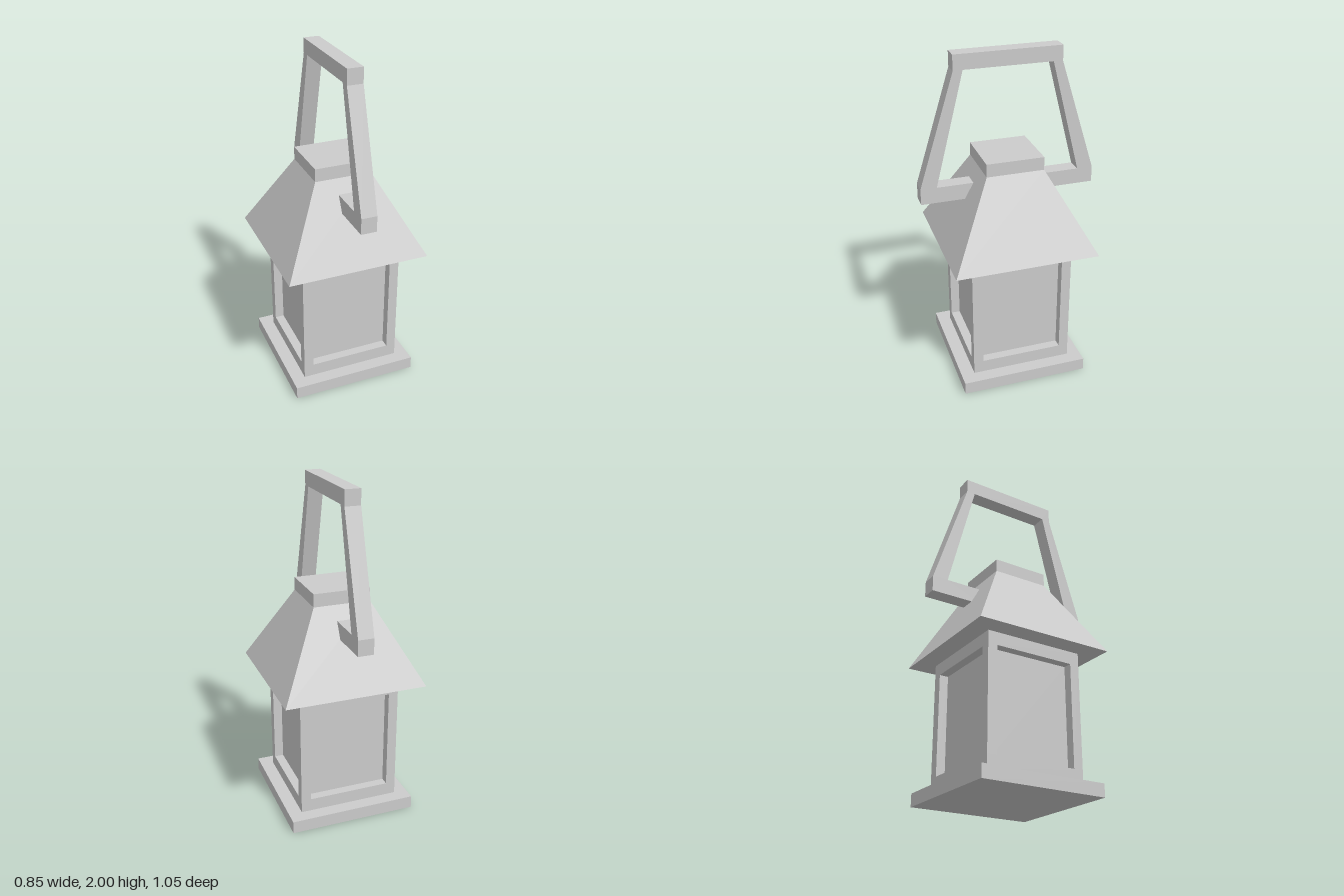
import * as THREE from 'three';

const material = new THREE.MeshStandardMaterial({ color: 0xcccccc, flatShading: true });

function add(parent, name, geometry, x = 0, y = 0, z = 0) {
  const mesh = new THREE.Mesh(geometry, material);
  mesh.name = name;
  mesh.position.set(x, y, z);
  parent.add(mesh);
  return mesh;
}

// Square block of half-width r between two heights
function block(parent, name, r, y0, y1, x = 0, z = 0) {
  return add(parent, name, new THREE.BoxGeometry(2 * r, y1 - y0, 2 * r), x, (y0 + y1) / 2, z);
}

export function createModel() {
  const lantern = new THREE.Group();
  lantern.name = 'lantern';

  block(lantern, 'base', 0.385, 0, 0.077);

  // Body: rails and corner posts framing four recessed panes
  const body = new THREE.Group();
  body.name = 'body';
  lantern.add(body);
  const half = 0.305, post = 0.058;
  block(body, 'bottomRail', half, 0.077, 0.155);
  block(body, 'topRail', half, 0.77, 0.847);
  block(body, 'panes', half - 0.055, 0.155, 0.77);
  const c = half - post / 2;
  for (const sx of [-1, 1]) {
    for (const sz of [-1, 1]) block(body, 'cornerPost', post / 2, 0.155, 0.77, sx * c, sz * c);
  }

  // Roof: four-sided frustum with a square cap
  const roofBottom = 0.847, roofTop = 1.322;
  add(lantern, 'roof', new THREE.CylinderGeometry(
    0.171 * Math.SQRT2, 0.427 * Math.SQRT2, roofTop - roofBottom, 4, 1, false, Math.PI / 4
  ), 0, (roofBottom + roofTop) / 2, 0);
  block(lantern, 'roofCap', 0.171, roofTop, 1.4);

  // Handle: mirrored angular outline whose feet run into the roof
  const outer = [[0.315, 2], [0.315, 1.91], [0.525, 1.24], [0.525, 1.145], [0.2, 1.145]];
  const inner = [[0.2, 1.24], [0.43, 1.24], [0.26, 1.912]];
  const side = [...outer, ...inner];
  const mirrored = side.map(([z, y]) => [-z, y]).reverse();
  const outline = new THREE.Shape([...side, ...mirrored].map(([z, y]) => new THREE.Vector2(z, y)));
  const width = 0.094;
  const handle = new THREE.ExtrudeGeometry(outline, { depth: width, bevelEnabled: false });
  handle.translate(0, 0, -width / 2).rotateY(Math.PI / 2);
  add(lantern, 'handle', handle);

  return lantern;
}
